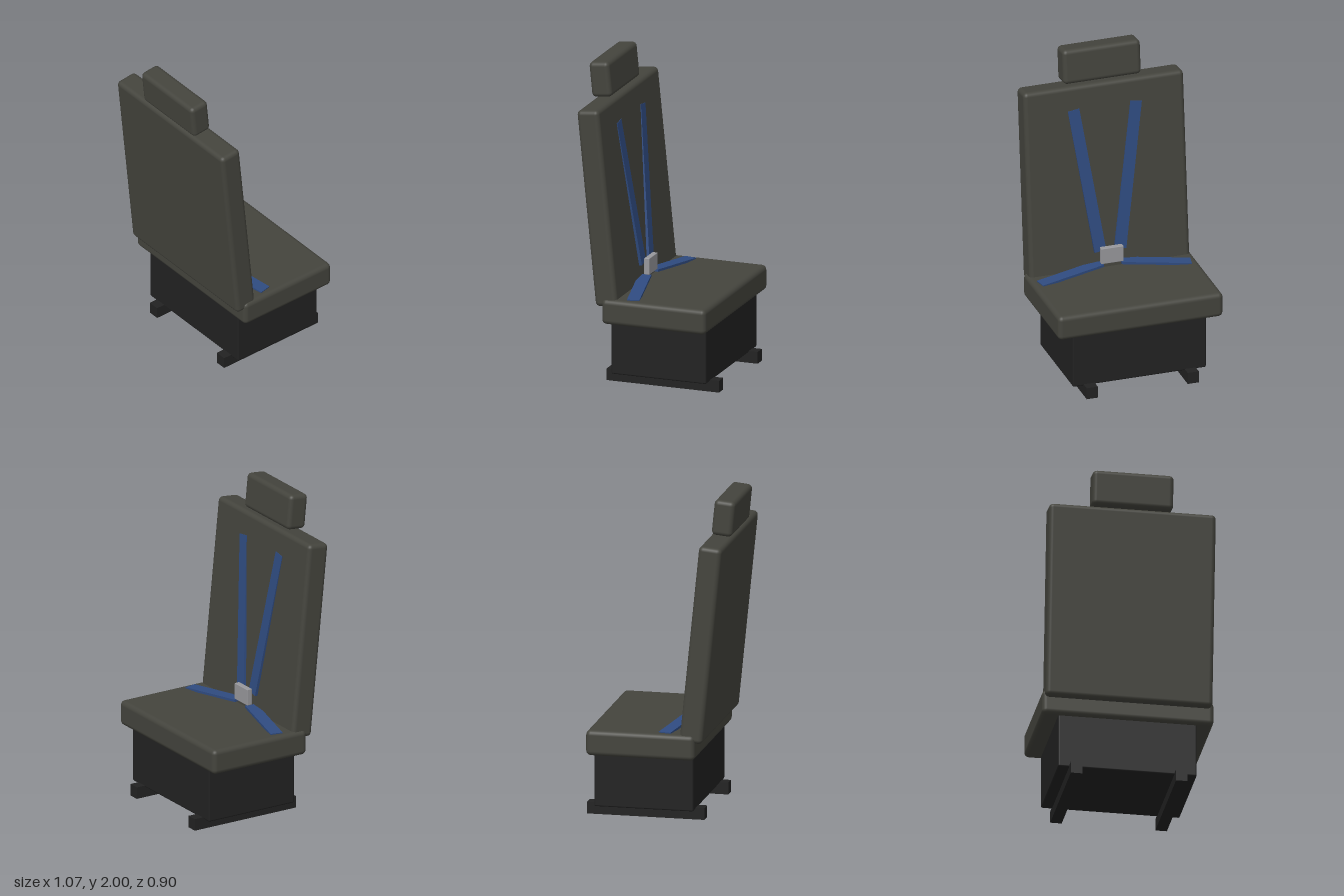
import * as THREE from 'three';
import { RoundedBoxGeometry } from 'three/addons/geometries/RoundedBoxGeometry.js';

const mat = (name, color) => {
  const m = new THREE.MeshStandardMaterial({ color });
  m.name = name;
  return m;
};

export function createModel() {
  const upholstery = mat('upholstery', 0x44443d);
  const metal = mat('blackMetal', 0x222222);
  const webbing = mat('blueWebbing', 0x2f4b80);
  const steel = mat('buckleSteel', 0x98989c);
  const model = new THREE.Group();
  model.name = 'vehicleSeat';

  // Box with an optional rounded edge
  function box(name, parent, material, [w, h, d], [x, y, z], radius = 0) {
    const geo = radius ? new RoundedBoxGeometry(w, h, d, 3, radius) : new THREE.BoxGeometry(w, h, d);
    const mesh = new THREE.Mesh(geo, material);
    mesh.name = name;
    mesh.position.set(x, y, z);
    parent.add(mesh);
    return mesh;
  }

  // Flat belt running between two points, with its face towards the given normal
  function strap(name, parent, from, to, width, thickness, normal) {
    const a = new THREE.Vector3(...from), b = new THREE.Vector3(...to);
    const along = b.clone().sub(a);
    const length = along.length();
    along.normalize();
    const across = new THREE.Vector3(...normal).cross(along).normalize();
    const out = along.clone().cross(across);
    const mesh = box(name, parent, webbing, [length, width, thickness], a.add(b).multiplyScalar(0.5).toArray());
    mesh.quaternion.setFromRotationMatrix(new THREE.Matrix4().makeBasis(along, across, out));
  }

  // Pedestal and cushion
  box('pedestal', model, metal, [0.865, 0.37, 0.625], [0, 0.25, -0.078], 0.01);
  box('seatCushion', model, upholstery, [1.07, 0.16, 0.685], [0, 0.488, -0.08], 0.03);

  // Backrest and headrest lean back by the same angle
  const backrest = new THREE.Group();
  backrest.name = 'backrest';
  backrest.position.set(0, 1.14, 0.2975);
  backrest.rotation.x = 0.1;
  model.add(backrest);
  box('backCushion', backrest, upholstery, [1.04, 1.25, 0.145], [0, 0, 0], 0.028);
  const headrest = box('headrest', model, upholstery, [0.505, 0.224, 0.132], [0, 1.884, 0.38], 0.028);
  headrest.rotation.x = 0.1;

  // Mirrored floor rails and harness belts
  for (const [side, s] of [['left', 1], ['right', -1]]) {
    box(side + 'FloorRail', model, metal, [0.072, 0.075, 0.74], [s * 0.328, 0.0375, -0.08]);
    strap(side + 'ShoulderBelt', backrest, [s * 0.065, -0.47, -0.082], [s * 0.203, 0.473, -0.067], 0.075, 0.018, [0, 0, -1]);
    strap(side + 'LapBelt', model, [s * 0.49, 0.567, 0.067], [s * 0.065, 0.602, 0.153], 0.078, 0.015, [0, 1, 0]);
  }

  // Harness buckle
  box('buckle', model, steel, [0.145, 0.105, 0.035], [0, 0.662, 0.14], 0.004);
  return model;
}
